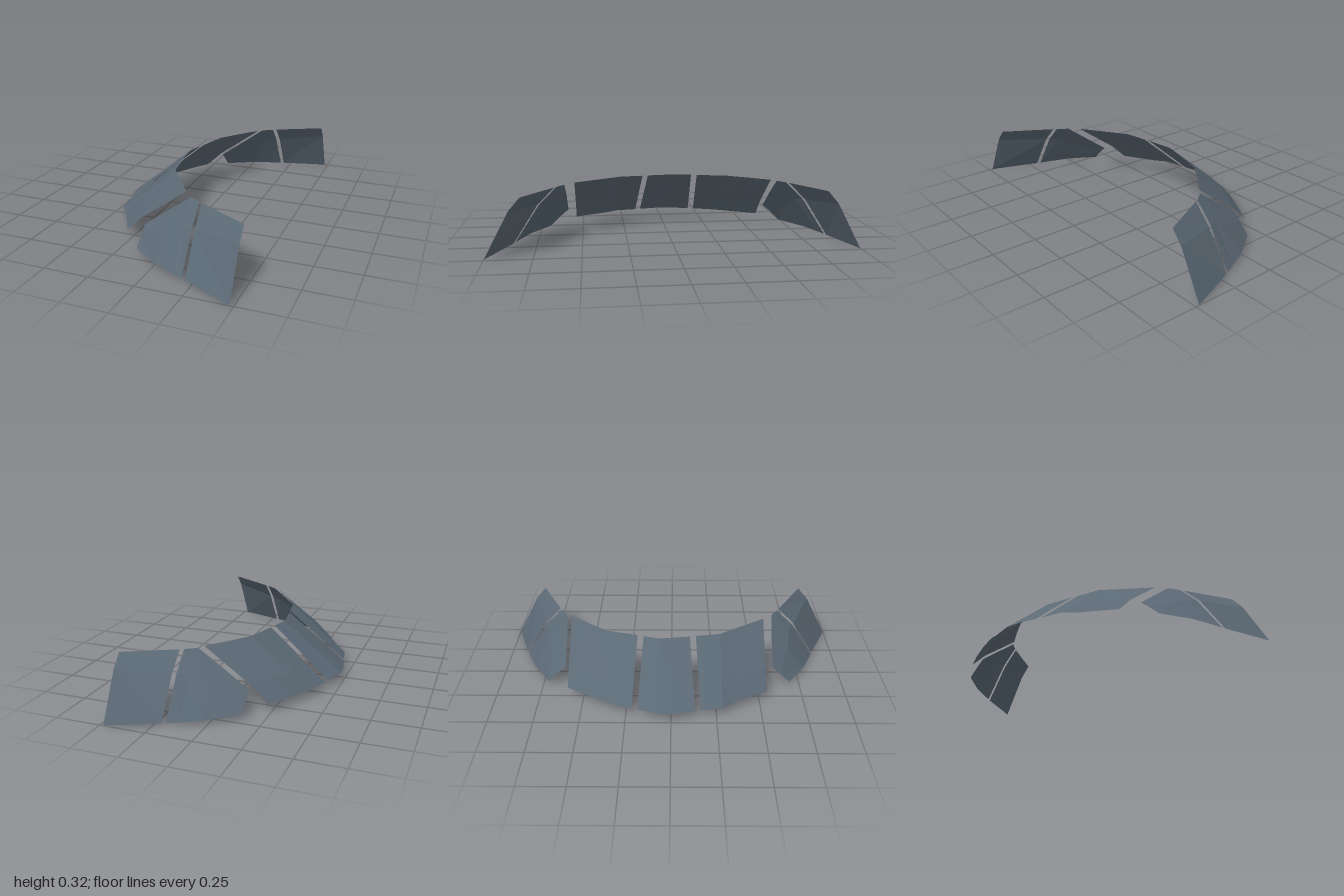
import * as THREE from 'three';

const glass = new THREE.MeshStandardMaterial({ color: 0x5b6975, flatShading: true, side: THREE.DoubleSide });
glass.name = 'tinted glass';

// Skins a thin pane over columns of points that run from bottom to top
function pane(name, columns) {
  const rows = columns[0].length;
  const index = [];
  for (let c = 0; c < columns.length - 1; c++) {
    for (let r = 0; r < rows - 1; r++) {
      const a = c * rows + r, b = a + rows;
      index.push(a, b, a + 1, b, b + 1, a + 1);
    }
  }
  const geometry = new THREE.BufferGeometry();
  geometry.setAttribute('position', new THREE.Float32BufferAttribute(columns.flat(2), 3));
  geometry.setIndex(index);
  geometry.computeVertexNormals();
  const mesh = new THREE.Mesh(geometry, glass);
  mesh.name = name;
  return mesh;
}

// Windscreen column: bottom x, z; top x, z; forward bulge at the middle row
const LOW = 0.048, HIGH = 0.323, T = 0.34;
function screenColumn([bx, bz, tx, tz, bulge = 0]) {
  return [
    [bx, LOW, bz],
    [bx + (tx - bx) * T - bulge, LOW + (HIGH - LOW) * T, bz + (tz - bz) * T],
    [tx, HIGH, tz],
  ];
}

// Mirrors side columns across z; the screen sits slightly off centre
function mirrored(columns) {
  return columns.map(col => col.map(([x, y, z]) => [x, y, -z - (x > 0.4 ? 0 : 0.025)])).reverse();
}

export function createModel() {
  const model = new THREE.Group();
  model.name = 'wraparoundWindows';

  // Three raked windscreen panes
  const screens = {
    rightScreen: [
      [-0.24, -0.59, 0.11, -0.59, 0.02],
      [-0.305, -0.49, 0.02, -0.48, 0.015],
      [-0.39, -0.335, -0.065, -0.365, 0.01],
      [-0.44, -0.217, -0.113, -0.19],
    ],
    centreScreen: [
      [-0.445, -0.183, -0.125, -0.157],
      [-0.445, -0.183, -0.15, -0.06],
      [-0.485, -0.06, -0.15, -0.06],
      [-0.485, 0.02, -0.15, -0.06],
      [-0.46, 0.132, -0.15, -0.06],
      [-0.46, 0.132, -0.128, 0.105],
    ],
    leftScreen: [
      [-0.452, 0.163, -0.12, 0.138],
      [-0.43, 0.285, -0.098, 0.275],
      [-0.38, 0.345, -0.05, 0.345, 0.01],
      [-0.27, 0.54, 0.08, 0.54, 0.02],
    ],
  };
  for (const [name, columns] of Object.entries(screens)) {
    model.add(pane(name, columns.map(screenColumn)));
  }

  // Side panes: each column is bottom, belly, top
  const sides = {
    FrontSideWindow: [
      [[-0.14, 0.026, 0.69], [-0.14, 0.08, 0.635], [-0.14, 0.123, 0.585]],
      [[0.02, 0.02, 0.797], [0.02, 0.15, 0.69], [0.02, 0.24, 0.588]],
      [[0.13, 0.015, 0.845], [0.13, 0.21, 0.707], [0.13, 0.32, 0.595]],
      [[0.19, 0.012, 0.87], [0.19, 0.22, 0.735], [0.19, 0.32, 0.635]],
    ],
    RearSideWindow: [
      [[0.21, 0.011, 0.878], [0.21, 0.22, 0.745], [0.21, 0.32, 0.647]],
      [[0.48, 0, 1], [0.48, 0.25, 0.868], [0.48, 0.32, 0.807]],
    ],
  };
  for (const [name, columns] of Object.entries(sides)) {
    model.add(pane('left' + name, columns), pane('right' + name, mirrored(columns)));
  }
  return model;
}
